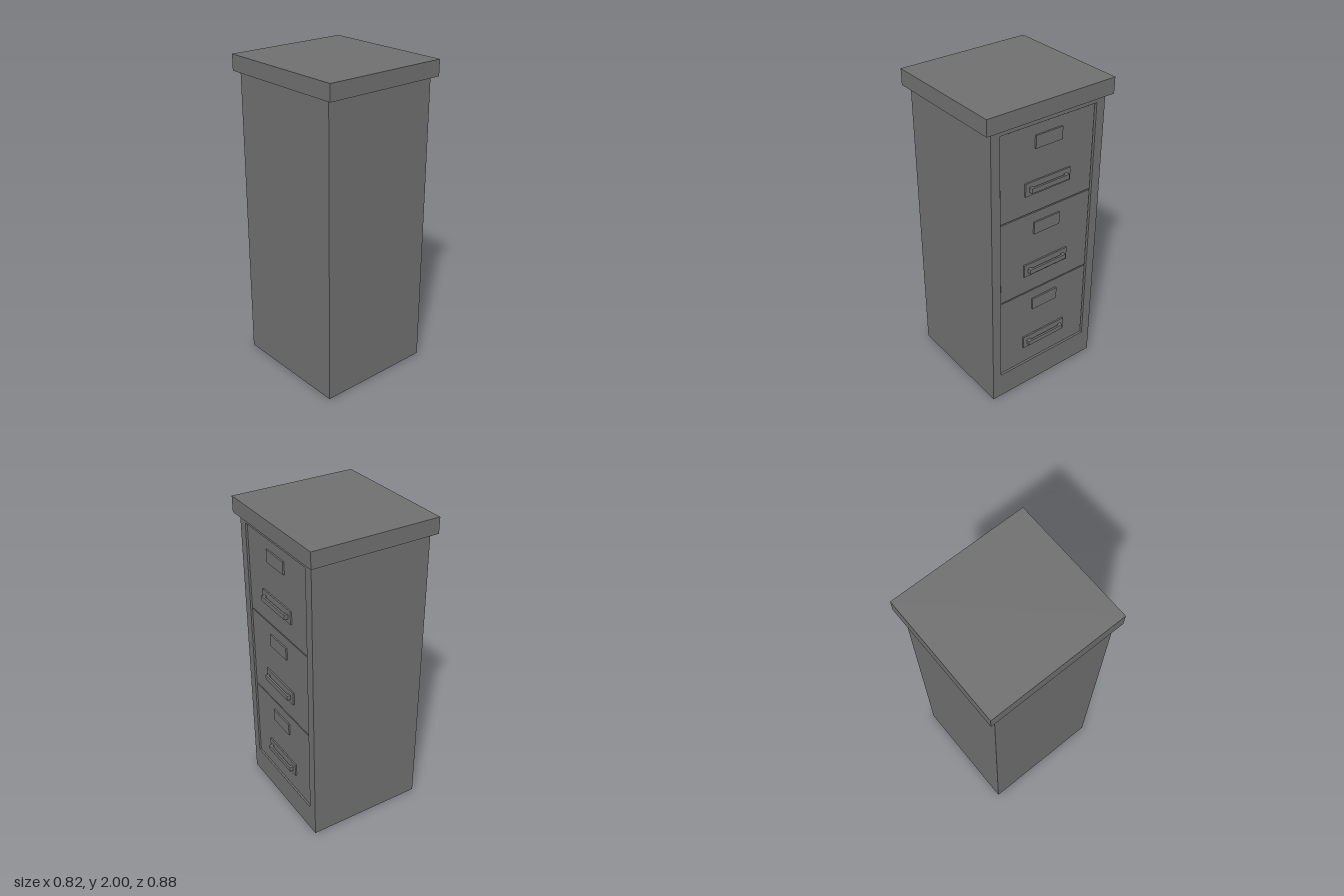
import * as THREE from 'three';

const material = new THREE.MeshStandardMaterial({ color: 0x6f6f6f, flatShading: true });

// Box given by its minimum and maximum corners
function box(name, [x0, y0, z0], [x1, y1, z1]) {
  const geometry = new THREE.BoxGeometry(x1 - x0, y1 - y0, z1 - z0);
  geometry.translate((x0 + x1) / 2, (y0 + y1) / 2, (z0 + z1) / 2);
  const mesh = new THREE.Mesh(geometry, material);
  mesh.name = name;
  return mesh;
}

// Points of a rectangle centred on z = 0, from y0 to y1
function rect(halfWidth, y0, y1) {
  return [
    [-halfWidth, y0], [halfWidth, y0], [halfWidth, y1], [-halfWidth, y1],
  ].map(([u, y]) => new THREE.Vector2(u, y));
}

// Carcass with a shallow rectangular opening on the +x side
function carcass() {
  const shape = new THREE.Shape(rect(0.4, 0, 1.9));
  shape.holes.push(new THREE.Path(rect(0.339, 0.176, 1.863)));
  const geometry = new THREE.ExtrudeGeometry(shape, { depth: 0.772, bevelEnabled: false });
  geometry.rotateY(Math.PI / 2).translate(-0.386, 0, 0);
  const shell = new THREE.Mesh(geometry, material);
  shell.name = 'carcassShell';
  const group = new THREE.Group();
  group.name = 'carcass';
  group.add(shell, box('carcassCore', [-0.386, 0.176, -0.339], [0.368, 1.863, 0.339]));
  return group;
}

// Drawer front with a raised label plate and a pull bar on a raised plate
function drawer() {
  const group = new THREE.Group();
  group.name = 'drawer';
  group.add(
    box('drawerFront', [0.368, 0, -0.332], [0.377, 0.553, 0.332]),
    box('labelPlate', [0.377, 0.409, -0.095], [0.387, 0.489, 0.095]),
    box('handlePlate', [0.377, 0.124, -0.163], [0.387, 0.209, 0.163]),
    box('handleBar', [0.398, 0.15, -0.136], [0.411, 0.181, 0.136]),
  );
  for (const side of [-1, 1]) {
    const z = side * 0.126;
    group.add(box('handlePost', [0.387, 0.15, z - 0.01], [0.398, 0.181, z + 0.01]));
  }
  return group;
}

export function createModel() {
  const model = new THREE.Group();
  model.name = 'filingCabinet';
  model.add(carcass(), box('top', [-0.412, 1.9, -0.442], [0.412, 2, 0.442]));

  // Three stacked drawers
  for (let i = 0; i < 3; i++) {
    const d = drawer();
    d.position.y = 0.183 + i * 0.5605;
    model.add(d);
  }
  return model;
}
